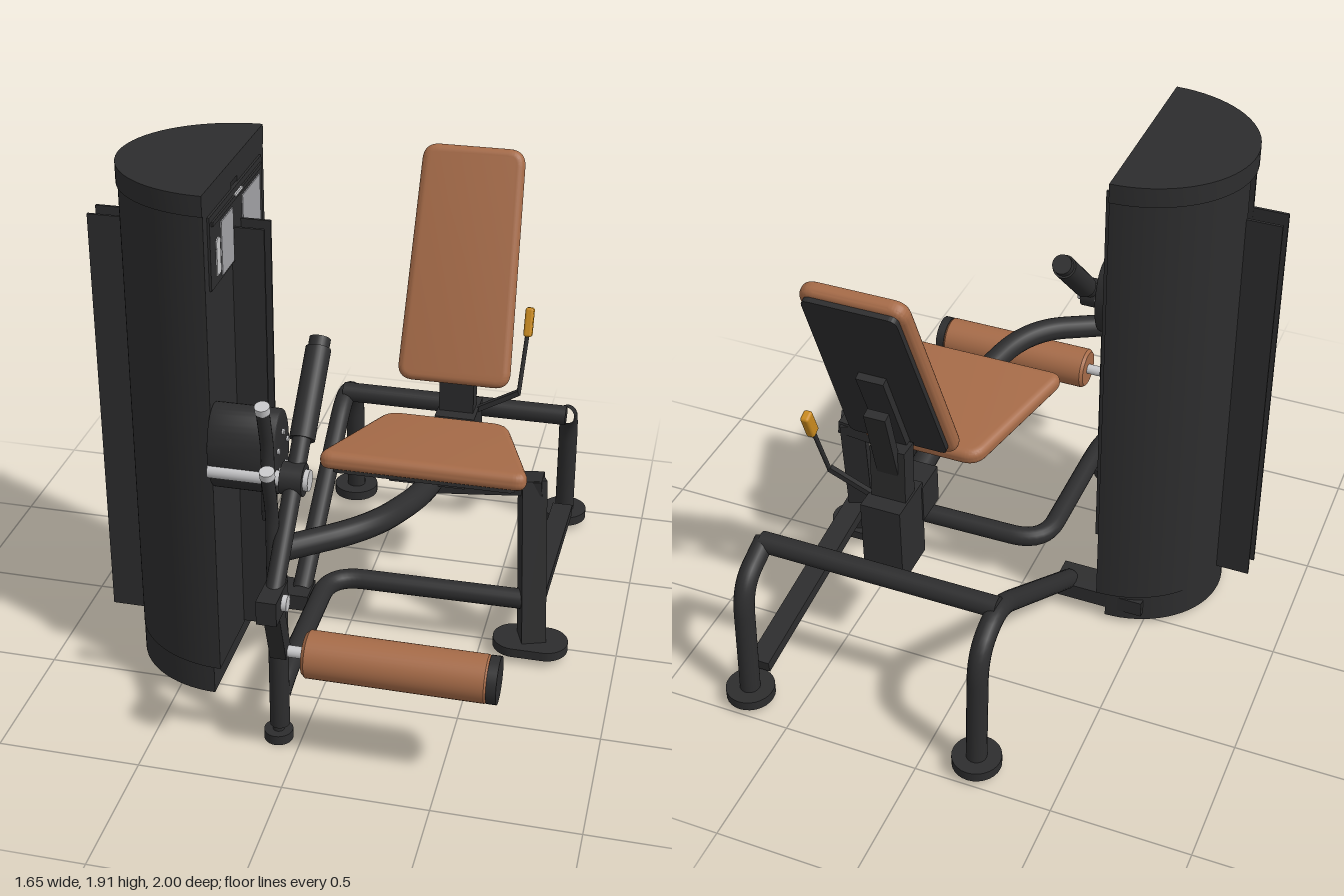
import * as THREE from 'three';
import { toCreasedNormals } from 'three/addons/utils/BufferGeometryUtils.js';
import { RoundedBoxGeometry } from 'three/addons/geometries/RoundedBoxGeometry.js';

const paint = (name, color) => Object.assign(new THREE.MeshStandardMaterial({ color }), { name });
const V = (p) => new THREE.Vector3(...p);

export function createModel() {
  const root = new THREE.Group();
  root.name = 'legExtensionMachine';
  const frame = paint('charcoal frame', 0x2d2d2e);
  const leather = paint('tan upholstery', 0xa66b48);
  const silver = paint('silver metal', 0xc8c8ca);
  const amber = paint('amber grip', 0xc98a1e);
  const glass = paint('grey placard', 0xa2a2a6);

  const add = (name, geo, mat, pos = [0, 0, 0], parent = root) => {
    const m = new THREE.Mesh(geo, mat);
    m.name = name;
    m.position.set(...pos);
    parent.add(m);
    return m;
  };
  // box given by its min and max corners
  const box = (name, a, b, mat = frame) => add(name,
    new THREE.BoxGeometry(b[0] - a[0], b[1] - a[1], b[2] - a[2]), mat,
    a.map((v, i) => (v + b[i]) / 2));
  // square bar between two points
  const beam = (name, a, b, w, h, mat = frame) => {
    const m = add(name, new THREE.BoxGeometry(w, h, V(a).distanceTo(V(b))), mat,
      V(a).add(V(b)).multiplyScalar(0.5).toArray());
    m.lookAt(V(b));
    return m;
  };
  // round bar between two points
  const rod = (name, a, b, r, mat = frame, r2 = r) => {
    const d = V(b).sub(V(a));
    const m = add(name, new THREE.CylinderGeometry(r2, r, d.length(), 28), mat,
      V(a).add(V(b)).multiplyScalar(0.5).toArray());
    m.quaternion.setFromUnitVectors(new THREE.Vector3(0, 1, 0), d.normalize());
    return m;
  };
  // bent pipe: straight runs joined by rounded corners
  const pipe = (name, pts, r, bend = 0.1) => {
    const path = new THREE.CurvePath();
    const p = pts.map(V);
    let from = p[0];
    for (let i = 1; i < p.length - 1; i++) {
      const toward = (q) => p[i].clone().add(q.clone().sub(p[i])
        .setLength(Math.min(bend, p[i].distanceTo(q) * 0.45)));
      const s = toward(p[i - 1]), e = toward(p[i + 1]);
      path.add(new THREE.LineCurve3(from, s));
      path.add(new THREE.QuadraticBezierCurve3(s, p[i], e));
      from = e;
    }
    path.add(new THREE.LineCurve3(from, p[p.length - 1]));
    return add(name, new THREE.TubeGeometry(path, 64, r, 18), frame);
  };
  const extrude = (shape, depth, bevel = 0) => toCreasedNormals(new THREE.ExtrudeGeometry(shape, {
    depth: depth - 2 * bevel, bevelEnabled: bevel > 0, bevelSize: bevel, bevelThickness: bevel,
    bevelOffset: -bevel, bevelSegments: 5, curveSegments: 20,
  }).translate(0, 0, -depth / 2 + bevel), 0.6);
  // trapezoid with rounded corners, centred on the origin
  const trapezoid = (wBottom, wTop, h, r) => {
    const c = [[-wBottom / 2, -h / 2], [wBottom / 2, -h / 2], [wTop / 2, h / 2], [-wTop / 2, h / 2]]
      .map(([x, y]) => new THREE.Vector2(x, y));
    const s = new THREE.Shape();
    c.forEach((p, i) => {
      const a = c[(i + 3) % 4].clone().sub(p).setLength(r).add(p);
      const b = c[(i + 1) % 4].clone().sub(p).setLength(r).add(p);
      if (i) s.lineTo(a.x, a.y); else s.moveTo(a.x, a.y);
      s.quadraticCurveTo(p.x, p.y, b.x, b.y);
    });
    s.closePath();
    return s;
  };

  // Weight tower: half-oval plan, z0..z1 measured from its middle
  const plan = (rx, rz, z0, z1) => {
    const a0 = Math.asin(z0 / rz), a1 = Math.asin(z1 / rz), pts = [];
    for (let i = 0; i <= 36; i++) {
      const t = a0 + (a1 - a0) * i / 36;
      pts.push(new THREE.Vector2(-rx * Math.cos(t), -rz * Math.sin(t)));
    }
    pts.push(new THREE.Vector2(0, -z1), new THREE.Vector2(0, -z0));
    return new THREE.Shape(pts);
  };
  const slab = (name, shape, y0, y1, x = -0.33) => add(name,
    extrude(shape, y1 - y0).rotateX(-Math.PI / 2), frame, [x, (y0 + y1) / 2, 0.257]);
  slab('towerFrontHalf', plan(0.38, 0.34, 0.034, 0.34), 0.14, 1.84);
  slab('towerBackHalf', plan(0.38, 0.34, -0.34, -0.034), 0.14, 1.84);
  slab('towerBase', plan(0.35, 0.32, -0.32, 0.32), 0.02, 0.15, -0.36);
  slab('towerCap', plan(0.386, 0.346, -0.346, 0.346), 1.84, 1.91);
  for (const z of [0.217, 0.297]) box('slotShroud', [-0.83, 0.15, z - 0.005], [-0.22, 1.69, z + 0.005]);
  // Weight stack and guide rod inside the slot
  for (let i = 0; i < 17; i++) {
    const y = 0.37 + i * 0.0255;
    box('weightPlate', [-0.62, y, 0.222], [-0.36, y + 0.019, 0.292]);
  }
  rod('guideRod', [-0.48, 0.8, 0.257], [-0.48, 1.83, 0.257], 0.011, silver);
  rod('stackCarrier', [-0.48, 0.15, 0.257], [-0.48, 0.38, 0.257], 0.012);
  // Header with placards
  box('headerPanel', [-0.335, 1.57, -0.035], [-0.322, 1.82, 0.555]);
  box('headerTrim', [-0.33, 1.785, -0.02], [-0.315, 1.8, 0.54]);
  box('headerLabel', [-0.32, 1.795, 0.215], [-0.314, 1.803, 0.3], silver);
  box('rightPlacard', [-0.323, 1.58, 0.0], [-0.318, 1.765, 0.205], glass);
  box('leftPlacard', [-0.323, 1.58, 0.315], [-0.318, 1.765, 0.445], glass);
  box('placardFigure', [-0.323, 1.6, 0.46], [-0.318, 1.69, 0.5], silver);
  rod('placardFigureHead', [-0.323, 1.705, 0.48], [-0.318, 1.705, 0.48], 0.022, silver);
  // Weight selector
  box('selectorKnob', [-0.33, 0.915, 0.3], [-0.29, 0.937, 0.35], amber);
  rod('selectorPin', [-0.33, 0.865, 0.318], [-0.29, 0.865, 0.318], 0.013, amber);

  // Rear legs, cross tube and rails to the tower and front leg
  for (const x of [-0.195, 0.685]) {
    rod('rearFoot', [x, 0.025, -0.913], [x, 0.062, -0.913], 0.088);
    const pts = [[x, 0.05, -0.915], [x, 0.52, -0.885], [x, 0.59, -0.71]];
    if (x < 0) pts.push([x, 0.1, -0.01]);
    pipe('rearLeg', pts, 0.037, 0.12);
  }
  rod('rearCrossTube', [-0.2, 0.59, -0.72], [0.69, 0.59, -0.72], 0.038);
  beam('sideRail', [0.685, 0.205, 0.02], [0.685, 0.095, -0.84], 0.08, 0.045);
  box('towerTie', [-0.5, 0.055, -0.06], [-0.155, 0.118, 0.06]);

  // Front right leg with its foot and seat bracket
  beam('frontLeg', [0.69, 0.05, 0.04], [0.65, 0.67, -0.07], 0.09, 0.085);
  beam('frontLegBracket', [0.3, 0.61, -0.07], [0.69, 0.65, -0.07], 0.085, 0.055);
  const footShape = new THREE.Shape();
  footShape.absarc(0.055, 0, 0.083, -Math.PI / 2, Math.PI / 2);
  footShape.absarc(-0.055, 0, 0.083, Math.PI / 2, Math.PI * 1.5);
  add('frontLegFoot', extrude(footShape, 0.035).rotateX(-Math.PI / 2), frame, [0.687, 0.045, 0.05]);

  // Front post and main tubes
  rod('frontPost', [-0.075, 0.06, 0.74], [-0.075, 0.8, 0.74], 0.034);
  rod('frontPostFoot', [-0.08, 0, 0.74], [-0.08, 0.036, 0.74], 0.05);
  rod('frontPostPin', [-0.08, 0.03, 0.74], [-0.08, 0.07, 0.74], 0.02);
  pipe('lowerTube', [[-0.075, 0.18, 0.74], [-0.075, 0.21, 0.63], [-0.075, 0.21, 0.03], [0.67, 0.21, 0.02]], 0.037, 0.13);
  pipe('seatTube', [[-0.08, 0.755, 0.74], [0.2, 0.775, 0.56], [0.31, 0.715, 0.2], [0.31, 0.64, -0.26]], 0.043, 0.16);

  // Seat
  const seat = new THREE.Group();
  seat.name = 'seat';
  seat.position.set(0.305, 0.792, 0.012);
  seat.rotation.x = -0.14;
  root.add(seat);
  const flat = (g) => g.rotateX(-Math.PI / 2);
  add('seatCushion', flat(extrude(trapezoid(0.75, 0.45, 0.5, 0.06), 0.065, 0.028)), leather, [0, 0, 0], seat);
  add('seatBoard', flat(extrude(trapezoid(0.66, 0.38, 0.43, 0.04), 0.02)), frame, [0, -0.04, 0], seat);
  add('seatMount', new THREE.BoxGeometry(0.27, 0.05, 0.3), frame, [0, -0.07, -0.03], seat);

  // Backrest
  const back = new THREE.Group();
  back.name = 'backrest';
  back.position.set(0.307, 1.283, -0.49);
  back.rotation.x = -0.39;
  root.add(back);
  add('backCushion', extrude(trapezoid(0.42, 0.375, 0.87, 0.06), 0.06, 0.026), leather, [0, 0, 0], back);
  add('backBoard', extrude(trapezoid(0.37, 0.33, 0.81, 0.03), 0.02), frame, [0, 0.01, -0.038], back);
  add('backSpine', new THREE.BoxGeometry(0.1, 0.42, 0.03), frame, [0, -0.17, -0.06], back);

  // Backrest carriage and adjuster
  box('carriageBox', [0.235, 0.4, -0.55], [0.385, 0.72, -0.36]);
  box('carriageNeck', [0.23, 0.55, -0.37], [0.38, 0.7, -0.24]);
  for (const [y, z] of [[0.66, -0.39], [0.48, -0.39], [0.44, -0.5], [0.6, -0.52]])
    rod('carriageBolt', [0.38, y, z], [0.392, y, z], 0.011, silver);
  beam('backPost', [0.307, 0.68, -0.45], [0.307, 0.93, -0.44], 0.13, 0.075);
  beam('backStrut', [0.307, 0.7, -0.43], [0.307, 1.13, -0.54], 0.08, 0.035);
  rod('adjusterRod', [0.53, 0.78, -0.485], [0.545, 1.02, -0.56], 0.008);
  beam('adjusterLink', [0.36, 0.7, -0.47], [0.53, 0.79, -0.485], 0.02, 0.02);
  const grip = add('adjusterGrip', new RoundedBoxGeometry(0.032, 0.11, 0.045, 3, 0.01), amber, [0.546, 1.045, -0.57]);
  grip.rotation.x = -0.35;

  // Cam housing at the tower
  const cam = new THREE.Shape();
  cam.absellipse(0, 0, 0.095, 0.153, 0, Math.PI * 2);
  add('camHousing', extrude(cam, 0.23, 0.008).rotateY(Math.PI / 2), frame, [-0.217, 1.02, 0.555]);
  rod('pivotShaft', [-0.33, 0.965, 0.635], [-0.02, 0.965, 0.635], 0.026, silver);
  for (let i = 0; i < 5; i++) {
    const a = i * Math.PI * 0.4 + 0.4;
    rod('camBolt', [-0.105, 1.02 + 0.07 * Math.sin(a), 0.55 + 0.06 * Math.cos(a)],
      [-0.095, 1.02 + 0.07 * Math.sin(a), 0.55 + 0.06 * Math.cos(a)], 0.01, silver);
  }

  // Swing arm with counterweight
  const X = -0.04;
  rod('swingArm', [X, 0.68, 0.92], [X, 1.1, 0.5], 0.031);
  rod('counterweight', [X, 1.06, 0.53], [X, 1.285, 0.305], 0.043);
  rod('counterweightCap', [X, 1.27, 0.32], [X, 1.31, 0.28], 0.036);
  rod('pivotHub', [-0.08, 0.967, 0.63], [-0.005, 0.967, 0.63], 0.055);
  rod('pivotBoss', [-0.01, 0.967, 0.63], [0.012, 0.967, 0.63], 0.036, silver);
  box('armJoint', [-0.072, 0.64, 0.855], [-0.005, 0.725, 1.0]);
  rod('jointBoss', [-0.01, 0.68, 0.92], [0.012, 0.68, 0.92], 0.027, silver);
  beam('lowerLink', [X, 0.7, 0.93], [X, 0.43, 0.84], 0.055, 0.06);

  // Ankle roller
  rod('rollerPin', [-0.03, 0.437, 0.84], [0.06, 0.437, 0.84], 0.02, silver);
  const rollerProfile = [[0, 0], [0.07, 0], [0.08, 0.012], [0.08, 0.603], [0.07, 0.615], [0, 0.615]];
  add('ankleRoller', toCreasedNormals(new THREE.LatheGeometry(
    rollerProfile.map((p) => new THREE.Vector2(...p)), 36), 0.6).rotateZ(-Math.PI / 2), leather, [0.045, 0.437, 0.84]);
  rod('rollerCap', [0.655, 0.437, 0.84], [0.688, 0.437, 0.84], 0.079);

  // Hand grips with silver ends
  for (const [x, y, z] of [[-0.115, 1.26, 0.725], [-0.078, 1.08, 0.815]]) {
    pipe('handGrip', [[x, y, z], [x, y - 0.16, z - 0.045], [x, y - 0.42, z - 0.04]], 0.022, 0.05);
    rod('gripEnd', [x, y - 0.01, z - 0.003], [x, y + 0.015, z + 0.004], 0.025, silver);
  }
  return root;
}
